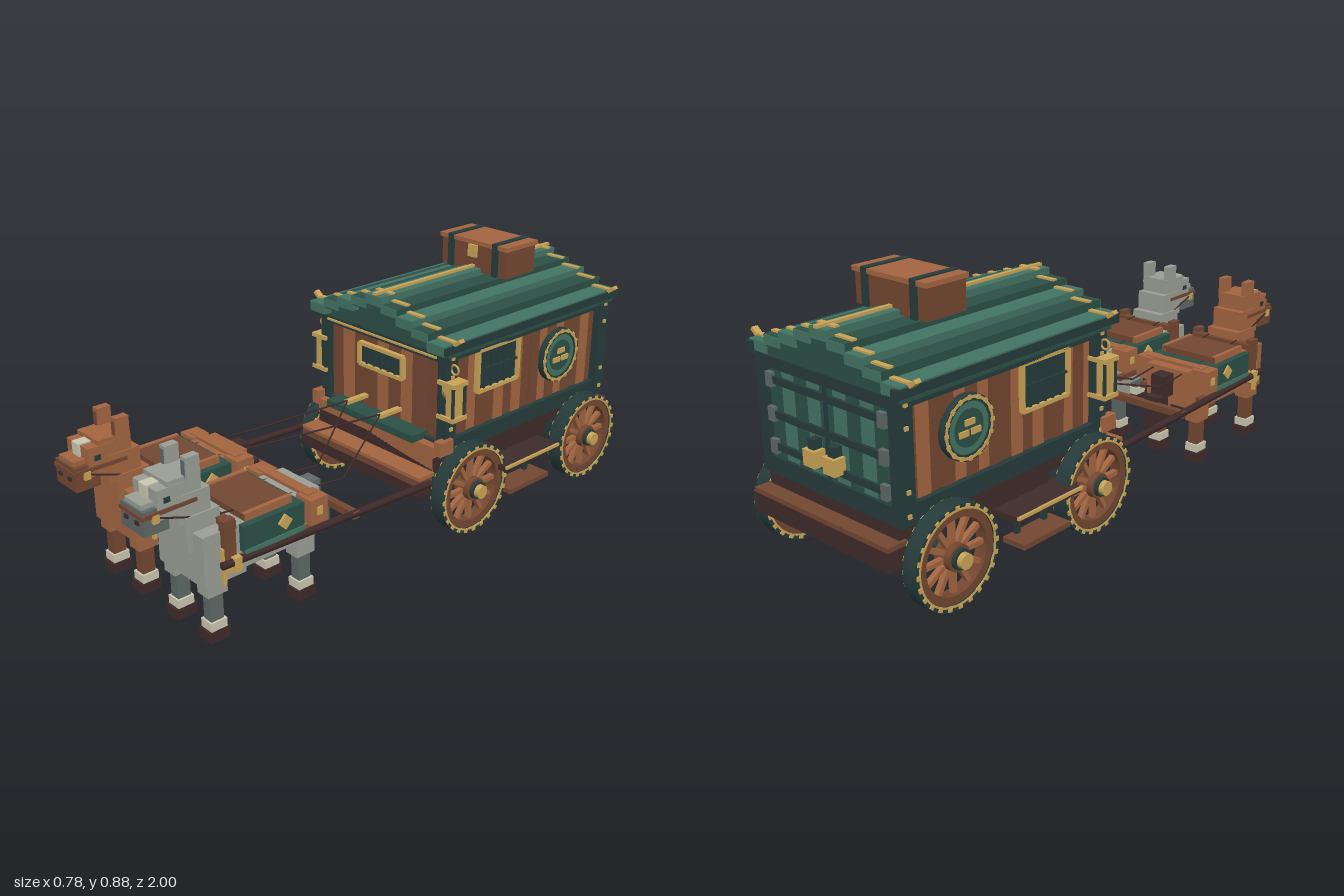
import * as THREE from 'three';

const mat = (name, color) => Object.assign(new THREE.MeshStandardMaterial({ color }), { name });
const M = {
  tan: mat('chestnut wood', 0xa36541), brown: mat('mid brown wood', 0x734731), dark: mat('dark wood', 0x3f2a2a),
  green: mat('light green paint', 0x437463), deep: mat('deep green paint', 0x2b5046), iron: mat('dark green iron', 0x263b3b),
  gold: mat('gold', 0xc9a456), grey: mat('grey coat', 0x9b9e96), slate: mat('slate coat', 0x5e6866), cream: mat('cream', 0xcac8b0),
};

function add(p, name, geo, m, x = 0, y = 0, z = 0) {
  const o = new THREE.Mesh(geo, m);
  o.name = name;
  o.position.set(x, y, z);
  p.add(o);
  return o;
}
// box given by its extents
const span = (p, name, m, x0, x1, y0, y1, z0, z1) => add(p, name,
  new THREE.BoxGeometry(Math.abs(x1 - x0), y1 - y0, Math.abs(z1 - z0)), m, (x0 + x1) / 2, (y0 + y1) / 2, (z0 + z1) / 2);
// the same box on both sides of x = 0
const pair = (p, name, m, x0, x1, ...r) => [1, -1].map((s) => span(p, name, m, s * x0, s * x1, ...r));
function rod(p, name, m, a, b, r) {
  const A = new THREE.Vector3(...a), B = new THREE.Vector3(...b), d = B.clone().sub(A);
  const o = add(p, name, new THREE.CylinderGeometry(r, r, d.length(), 6), m);
  o.position.copy(A).add(B).multiplyScalar(0.5);
  o.quaternion.setFromUnitVectors(new THREE.Vector3(0, 1, 0), d.normalize());
}
const group = (p, name, x = 0, y = 0, z = 0) => {
  const g = new THREE.Group();
  g.name = name;
  g.position.set(x, y, z);
  p.add(g);
  return g;
};
// ring or disc lying in the xy plane, centred on z = 0
function ring(R, r, depth) {
  const s = new THREE.Shape().absarc(0, 0, R, 0, Math.PI * 2);
  if (r) s.holes.push(new THREE.Path().absarc(0, 0, r, 0, Math.PI * 2, true));
  return new THREE.ExtrudeGeometry(s, { depth, bevelEnabled: false, curveSegments: 24 }).translate(0, 0, -depth / 2);
}
// studs spaced round a circle in the xy plane
function studs(p, n, r, w, h, d) {
  for (let i = 0; i < n; i++) {
    const a = (i * Math.PI * 2) / n;
    add(p, 'stud', new THREE.BoxGeometry(w, h, d), M.gold, r * Math.cos(a), r * Math.sin(a)).rotation.z = a;
  }
}
// rectangular window: frame, pane and bars, facing +z
function windowPanel(p, name, w, h, bars) {
  const g = group(p, name);
  span(g, 'pane', M.iron, -w / 2, w / 2, -h / 2, h / 2, 0, 0.006);
  for (const s of [1, -1]) {
    span(g, 'frame', M.gold, -w / 2, w / 2, s * h / 2 - 0.006, s * h / 2 + 0.006, 0, 0.018);
    span(g, 'frame', M.gold, s * w / 2 - 0.006, s * w / 2 + 0.006, -h / 2, h / 2, 0, 0.018);
  }
  for (let i = 1; i <= bars; i++) {
    const x = -w / 2 + (w * i) / (bars + 1);
    span(g, 'bar', M.iron, x - 0.004, x + 0.004, -h / 2, h / 2, 0, 0.013);
  }
  return g;
}

function wheel(p, s, z) {
  const g = group(p, 'wheel', s * 0.328, 0.158, z);
  g.rotation.y = (s * Math.PI) / 2;
  add(g, 'tyre', ring(0.157, 0.14, 0.052), M.iron);
  add(g, 'felloe', ring(0.141, 0.115, 0.042), M.brown);
  for (const f of [1, -1]) add(g, 'tyreTrim', ring(0.146, 0.14, 0.004), M.gold, 0, 0, f * 0.026);
  studs(g, 24, 0.149, 0.012, 0.014, 0.06);
  for (let i = 0; i < 12; i++) {
    const a = (i * Math.PI) / 6;
    const spoke = add(g, 'spoke', new THREE.BoxGeometry(0.1, 0.015, 0.018), M.tan, 0.072 * Math.cos(a), 0.072 * Math.sin(a));
    spoke.rotation.z = a;
  }
  add(g, 'hub', ring(0.04, 0, 0.06), M.brown);
  add(g, 'hubBand', ring(0.031, 0, 0.085), M.iron);
  add(g, 'hubCap', ring(0.023, 0, 0.04), M.gold, 0, 0, 0.04);
}

function lantern(p, s) {
  const g = group(p, 'lantern', s * 0.305, 0.49, -0.127);
  span(g, 'glass', M.gold, -0.026, 0.026, -0.06, 0.06, -0.024, 0.024);
  for (const y of [-0.062, 0.056]) span(g, 'cap', M.gold, -0.036, 0.036, y - 0.007, y + 0.007, -0.034, 0.034);
  for (const x of [-0.028, 0.028]) for (const z of [-0.026, 0.026])
    span(g, 'cornerBar', M.iron, x - 0.004, x + 0.004, -0.055, 0.05, z - 0.004, z + 0.004);
  add(g, 'hangingRing', new THREE.TorusGeometry(0.016, 0.004, 6, 12), M.gold, s * 0.008, 0.1, 0);
}

function wagon(root) {
  const w = group(root, 'wagon');
  // chassis
  span(w, 'floor', M.dark, -0.28, 0.28, 0.235, 0.285, -0.95, -0.07);
  pair(w, 'chassisRail', M.iron, 0.17, 0.2, 0.19, 0.235, -0.95, -0.08);
  for (const z of [-0.2, -0.807]) {
    span(w, 'axle', M.iron, -0.3, 0.3, 0.143, 0.175, z - 0.018, z + 0.018);
    pair(w, 'axleBlock', M.iron, 0.165, 0.196, 0.118, 0.19, z - 0.02, z + 0.02);
  }
  span(w, 'footboard', M.dark, -0.29, 0.29, 0.165, 0.205, -0.06, 0);
  span(w, 'footboardRail', M.brown, -0.29, 0.29, 0.205, 0.228, -0.06, 0);
  span(w, 'footboardTop', M.tan, -0.29, 0.29, 0.228, 0.24, -0.07, 0);
  span(w, 'rearBumper', M.dark, -0.29, 0.29, 0.165, 0.225, -1, -0.93);
  span(w, 'rearBumperTop', M.brown, -0.29, 0.29, 0.225, 0.24, -1, -0.93);
  pair(w, 'sideBoard', M.dark, 0.28, 0.38, 0.188, 0.207, -0.6, -0.32);
  pair(w, 'sideBoardTrim', M.gold, 0.38, 0.388, 0.199, 0.209, -0.6, -0.32);
  pair(w, 'sideSkirt', M.dark, 0.26, 0.288, 0.2, 0.28, -0.64, -0.36);
  pair(w, 'step', M.brown, 0.29, 0.375, 0.088, 0.105, -0.565, -0.36);
  for (const z of [-0.52, -0.4]) pair(w, 'stepHanger', M.iron, 0.295, 0.31, 0.1, 0.2, z - 0.008, z + 0.008);
  for (const s of [1, -1]) for (const z of [-0.2, -0.807]) wheel(w, s, z);

  // cabin walls of upright planks
  span(w, 'cabinCore', M.brown, -0.262, 0.262, 0.28, 0.66, -0.93, -0.125);
  const woods = [M.tan, M.brown, M.tan, M.brown, M.brown];
  for (let i = 0; i < 17; i++) {
    const z = -0.14 - i * 0.0457;
    pair(w, 'sidePlank', woods[i % 5], 0.262, 0.272 + (i % 2) * 0.004, 0.32, 0.63, z - 0.045, z);
  }
  for (let i = 0; i < 9; i++) {
    const x = -0.252 + i * 0.056;
    span(w, 'frontPlank', woods[(i + 1) % 5], x, x + 0.055, 0.32, 0.61, -0.125, -0.116 + (i % 2) * 0.003);
    span(w, 'doorPlank', i % 2 ? M.green : M.deep, x, x + 0.055, 0.31, 0.61, -0.945, -0.93);
  }
  for (const y of [[0.28, 0.335], [0.61, 0.645]]) {
    pair(w, 'sideBeam', M.iron, 0.262, 0.292, ...y, -0.945, -0.11);
    span(w, 'frontBeam', M.iron, -0.28, 0.28, ...y, -0.13, -0.1);
    span(w, 'rearBeam', M.iron, -0.28, 0.28, ...y, -0.955, -0.93);
  }
  span(w, 'frontTrim', M.gold, -0.26, 0.26, 0.62, 0.627, -0.1, -0.095);
  for (const z of [-0.155, -0.955]) {
    pair(w, 'cornerPost', M.iron, 0.262, 0.3, 0.28, 0.65, z, z + 0.052);
    for (const y of [0.31, 0.38, 0.56, 0.625]) pair(w, 'postStud', M.gold, 0.3, 0.306, y - 0.006, y + 0.006, z + 0.02, z + 0.032);
  }
  // driver bench
  span(w, 'bench', M.tan, -0.28, 0.28, 0.24, 0.325, -0.11, -0.07);
  span(w, 'benchCushion', M.deep, -0.21, 0.21, 0.325, 0.35, -0.12, -0.045);
  pair(w, 'armrest', M.tan, 0.285, 0.315, 0.3, 0.35, -0.13, -0.07);
  pair(w, 'reinHook', M.gold, 0.07, 0.09, 0.38, 0.393, -0.12, -0.02);
  // windows, medallions and lanterns
  windowPanel(w, 'frontWindow', 0.205, 0.075, 5).position.set(0, 0.54, -0.114);
  for (const s of [1, -1]) {
    const win = windowPanel(w, 'sideWindow', 0.2, 0.145, 5);
    win.position.set(s * 0.274, 0.537, -0.37);
    win.rotation.y = (s * Math.PI) / 2;
    span(win, 'crossBar', M.iron, -0.1, 0.1, -0.004, 0.004, 0, 0.015);
    const m = group(w, 'medallion', s * 0.283, 0.488, -0.694);
    m.rotation.y = (s * Math.PI) / 2;
    add(m, 'rim', ring(0.097, 0.077, 0.024), M.iron);
    add(m, 'rimTrim', ring(0.093, 0.084, 0.027), M.gold);
    studs(m, 16, 0.089, 0.014, 0.012, 0.03);
    add(m, 'band', ring(0.078, 0, 0.018), M.green);
    add(m, 'centre', ring(0.056, 0, 0.021), M.deep);
    for (const [x, y] of [[0, 0.018], [-0.023, -0.012], [0.023, -0.012]])
      span(m, 'plate', M.gold, x - 0.018, x + 0.018, y - 0.009, y + 0.009, 0.01, 0.016);
    lantern(w, s);
  }
  // rear double door
  for (const y of [0.37, 0.47, 0.575]) {
    pair(w, 'doorStrap', M.iron, 0.012, 0.235, y - 0.011, y + 0.011, -0.955, -0.94);
    pair(w, 'hinge', M.slate, 0.225, 0.252, y - 0.022, y + 0.022, -0.96, -0.94);
  }
  span(w, 'doorGap', M.iron, -0.006, 0.006, 0.33, 0.61, -0.952, -0.94);
  pair(w, 'doorLock', M.gold, 0.018, 0.068, 0.37, 0.42, -0.985, -0.945);
  pair(w, 'lockBar', M.iron, 0.03, 0.056, 0.42, 0.45, -0.975, -0.945);

  // stepped roof: overlapping planks, gable fill and gold cross bands
  const tops = [0.775, 0.752, 0.73, 0.708, 0.682];
  tops.forEach((t, i) => {
    for (const s of i ? [1, -1] : [1]) {
      const x = s * i * 0.07;
      span(w, 'roofPlank', i % 2 ? M.deep : M.green, x - 0.037, x + 0.037, t - 0.035, t, -0.955, -0.07);
      for (const z of [-0.958, -0.075]) span(w, 'plankEnd', M.green, x - 0.036, x + 0.036, t - 0.03, t - 0.001, z, z + 0.008);
      span(w, 'gable', M.deep, x - 0.035, x + 0.035, 0.635, t - 0.03, -0.95, -0.1);
      for (const z of [-0.93, -0.13]) span(w, 'roofBand', M.gold, x - 0.037, x + 0.037, t, t + 0.006, z, z + 0.017);
    }
  });
  span(w, 'ridge', M.gold, -0.007, 0.007, 0.775, 0.784, -0.965, -0.07);
  pair(w, 'eave', M.iron, 0.295, 0.322, 0.65, 0.677, -0.97, -0.07);
  for (const z of [-0.92, -0.12]) for (const s of [1, -1])
    span(w, 'eaveTip', M.gold, s * 0.31, s * 0.348, 0.68, 0.692, z - 0.01, z + 0.01).rotation.z = s * 0.65;
  // roof trunk
  const t = group(w, 'trunk');
  span(t, 'trunkBody', M.brown, -0.148, 0.148, 0.76, 0.86, -0.7, -0.55);
  span(t, 'trunkLid', M.tan, -0.155, 0.155, 0.857, 0.872, -0.707, -0.543);
  pair(t, 'trunkStrap', M.iron, 0.09, 0.113, 0.76, 0.876, -0.71, -0.54);
  span(t, 'trunkLock', M.gold, -0.018, 0.018, 0.812, 0.855, -0.55, -0.538);
}

function horse(root, name, x, coat, shade, tail) {
  const h = group(root, name, x);
  // legs
  for (const z of [0.8, 0.475]) {
    pair(h, 'hoof', M.dark, 0.054, 0.11, 0, 0.035, z - 0.035, z + 0.035);
    pair(h, 'sock', M.cream, 0.057, 0.107, 0.035, 0.063, z - 0.028, z + 0.028);
    pair(h, 'lowerLeg', shade, 0.064, 0.1, 0.06, 0.16, z - 0.022, z + 0.022);
    pair(h, 'upperLeg', coat, 0.056, 0.108, 0.15, 0.25, z - 0.034, z + 0.034);
  }
  // body, neck and head
  span(h, 'chest', coat, -0.112, 0.112, 0.188, 0.35, 0.7, 0.845);
  span(h, 'barrel', coat, -0.1, 0.1, 0.195, 0.335, 0.44, 0.72);
  span(h, 'rump', coat, -0.085, 0.085, 0.23, 0.345, 0.4, 0.5);
  span(h, 'neckBase', coat, -0.066, 0.066, 0.29, 0.4, 0.75, 0.865);
  span(h, 'neck', coat, -0.06, 0.06, 0.38, 0.47, 0.775, 0.885);
  span(h, 'poll', coat, -0.056, 0.056, 0.45, 0.525, 0.8, 0.91);
  span(h, 'head', coat, -0.058, 0.058, 0.42, 0.51, 0.86, 0.945);
  span(h, 'muzzle', shade, -0.055, 0.055, 0.385, 0.46, 0.91, 0.99);
  span(h, 'noseBridge', coat, -0.04, 0.04, 0.455, 0.475, 0.92, 0.985);
  pair(h, 'nostril', M.dark, 0.018, 0.034, 0.415, 0.427, 0.985, 0.995);
  pair(h, 'eye', M.iron, 0.055, 0.061, 0.468, 0.484, 0.905, 0.925);
  span(h, 'blaze', M.cream, -0.018, 0.018, 0.475, 0.515, 0.9, 0.952);
  pair(h, 'ear', coat, 0.036, 0.062, 0.5, 0.578, 0.805, 0.85);
  pair(h, 'innerEar', shade, 0.043, 0.056, 0.515, 0.568, 0.85, 0.854);
  // tail
  span(h, 'tailRoot', tail, -0.028, 0.028, 0.25, 0.33, 0.345, 0.41);
  span(h, 'tail', tail, -0.028, 0.028, 0.145, 0.26, 0.31, 0.372);
  // blanket, saddle and bags
  span(h, 'blanket', M.deep, -0.135, 0.135, 0.265, 0.348, 0.5, 0.72);
  pair(h, 'blanketEdge', M.green, 0.132, 0.139, 0.258, 0.274, 0.5, 0.72);
  span(h, 'saddle', M.brown, -0.112, 0.112, 0.345, 0.37, 0.53, 0.7);
  pair(h, 'saddleRim', M.tan, 0.1, 0.115, 0.35, 0.374, 0.53, 0.7);
  for (const s of [1, -1])
    span(h, 'blanketDiamond', M.gold, s * 0.135, s * 0.142, 0.295, 0.331, 0.557, 0.593).rotation.x = Math.PI / 4;
  pair(h, 'saddlebag', M.tan, 0.085, 0.152, 0.27, 0.352, 0.425, 0.49);
  span(h, 'saddlebagStrap', M.tan, -0.12, 0.12, 0.345, 0.356, 0.44, 0.475);
  pair(h, 'saddlebagBuckle', M.gold, 0.152, 0.157, 0.3, 0.325, 0.447, 0.467);
  // harness
  pair(h, 'collar', M.brown, 0.105, 0.13, 0.22, 0.385, 0.745, 0.785);
  span(h, 'collarTop', M.brown, -0.12, 0.12, 0.345, 0.37, 0.735, 0.765);
  pair(h, 'trace', M.brown, 0.11, 0.13, 0.235, 0.255, 0.42, 0.78);
  pair(h, 'collarBar', M.gold, 0.116, 0.128, 0.185, 0.3, 0.78, 0.792);
  pair(h, 'collarBuckle', M.gold, 0.128, 0.14, 0.225, 0.255, 0.752, 0.79);
  pair(h, 'bridleCheek', M.brown, 0.057, 0.063, 0.44, 0.452, 0.82, 0.985);
  span(h, 'noseband', M.brown, -0.058, 0.058, 0.435, 0.447, 0.95, 0.994);
  pair(h, 'bitRing', M.gold, 0.056, 0.066, 0.42, 0.445, 0.945, 0.965);
}

export function createModel() {
  const root = new THREE.Group();
  root.name = 'horseDrawnWagon';
  wagon(root);
  horse(root, 'brownHorse', -0.175, M.tan, M.brown, M.dark);
  horse(root, 'greyHorse', 0.175, M.grey, M.slate, M.slate);
  // shafts and draw bar
  for (const s of [1, -1]) {
    rod(root, 'shaft', M.dark, [s * 0.31, 0.222, -0.03], [s * 0.31, 0.255, 0.8], 0.013);
    rod(root, 'shaftTie', M.brown, [s * 0.3, 0.25, 0.77], [s * 0.3, 0.235, 0.3], 0.008);
    span(root, 'shaftEnd', M.gold, s * 0.296, s * 0.324, 0.225, 0.27, 0.74, 0.765);
  }
  span(root, 'drawBar', M.brown, -0.32, 0.32, 0.222, 0.245, 0.29, 0.315);
  // crossed reins
  for (const s of [1, -1]) for (const x of [s * 0.235, -s * 0.115]) {
    rod(root, 'rein', M.dark, [s * 0.08, 0.392, -0.025], [x, 0.32, 0.28], 0.003);
    rod(root, 'rein', M.dark, [x, 0.32, 0.28], [x, 0.375, 0.78], 0.003);
    rod(root, 'rein', M.dark, [x, 0.375, 0.78], [x, 0.435, 0.955], 0.003);
  }
  return root;
}
